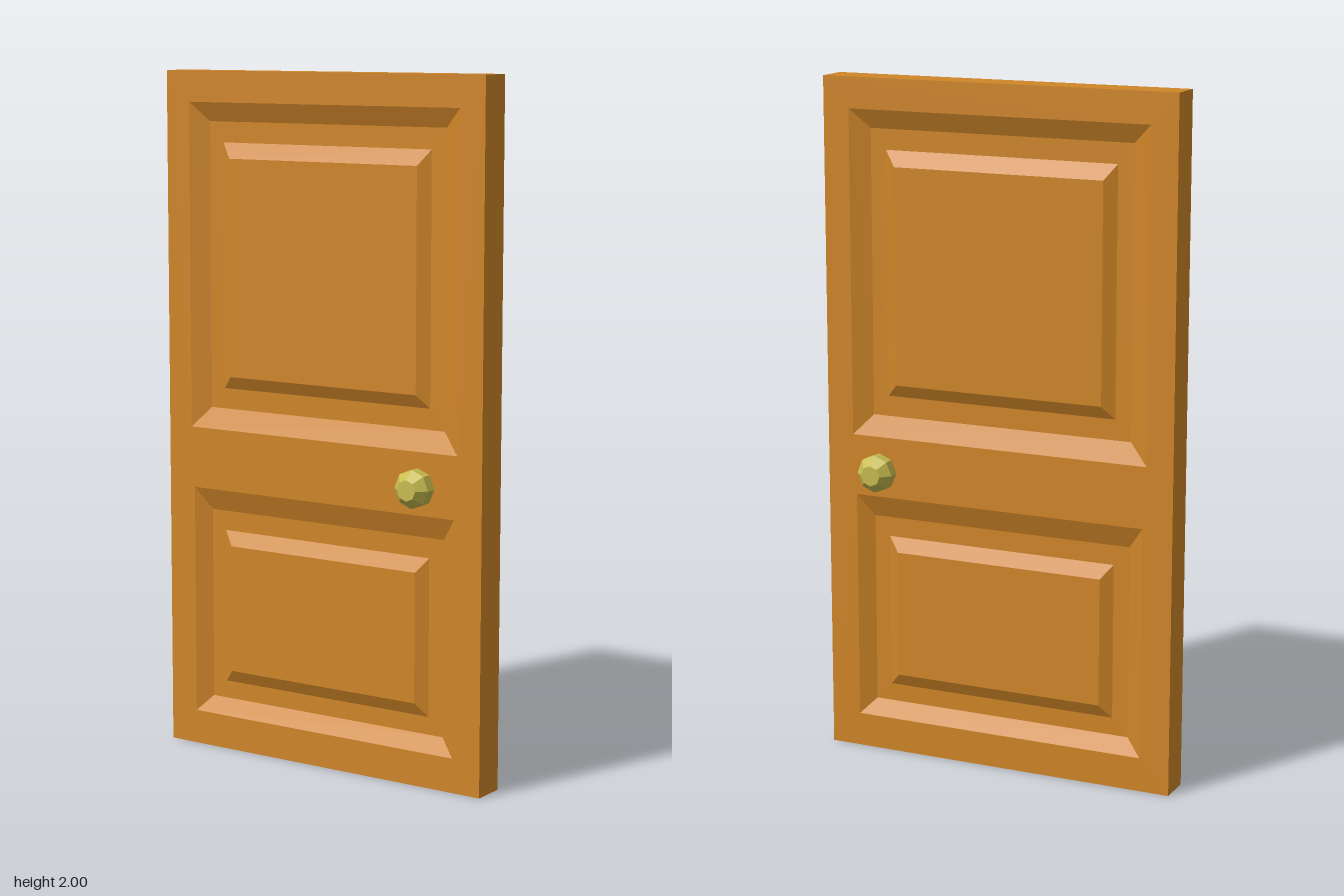
import * as THREE from 'three';

const wood = new THREE.MeshStandardMaterial({ color: 0xd08628, flatShading: true });
const brass = new THREE.MeshStandardMaterial({ color: 0xc8bc50, flatShading: true });
const HALF_W = 0.54, HEIGHT = 2, HALF_T = 0.05;
const FLOOR = HALF_T - 0.025, FIELD = HALF_T - 0.005;

// Rectangular rings from the rim inwards: [half width, bottom, top, z]
const PANELS = {
  upperPanel: [[0.46, 0.96, 1.91, HALF_T], [0.403, 1.02, 1.855, FLOOR], [0.355, 1.08, 1.795, FLOOR], [0.32, 1.117, 1.75, FIELD]],
  lowerPanel: [[0.45, 0.10, 0.78, HALF_T], [0.403, 0.148, 0.715, FLOOR], [0.355, 0.20, 0.657, FLOOR], [0.32, 0.238, 0.615, FIELD]],
};

function rectangle(Type, w, y0, y1) {
  return new Type([[-w, y0], [w, y0], [w, y1], [-w, y1]].map(([x, y]) => new THREE.Vector2(x, y)));
}

// Sunken moulding with a raised field, joined ring by ring
function panelGeometry(rings) {
  const loops = rings.map(([w, y0, y1, z]) => [[-w, y0, z], [w, y0, z], [w, y1, z], [-w, y1, z]]);
  const points = [];
  const quad = (a, b, c, d) => points.push(...a, ...b, ...c, ...a, ...c, ...d);
  for (let r = 0; r < loops.length - 1; r++) {
    for (let i = 0; i < 4; i++) {
      const j = (i + 1) % 4;
      quad(loops[r][i], loops[r][j], loops[r + 1][j], loops[r + 1][i]);
    }
  }
  quad(...loops[loops.length - 1]);
  const geometry = new THREE.BufferGeometry();
  geometry.setAttribute('position', new THREE.Float32BufferAttribute(points, 3));
  geometry.computeVertexNormals();
  return geometry;
}

function addMesh(parent, name, geometry, material) {
  const mesh = new THREE.Mesh(geometry, material);
  mesh.name = name;
  parent.add(mesh);
  return mesh;
}

export function createModel() {
  const door = new THREE.Group();
  door.name = 'door';

  // Frame with an opening for each panel
  const outline = rectangle(THREE.Shape, HALF_W, 0, HEIGHT);
  for (const [[w, y0, y1]] of Object.values(PANELS)) outline.holes.push(rectangle(THREE.Path, w, y0, y1));
  const frame = new THREE.ExtrudeGeometry(outline, { depth: 2 * HALF_T, bevelEnabled: false });
  frame.translate(0, 0, -HALF_T);
  addMesh(door, 'frame', frame, wood);

  // Eight-sided knob, turned about the z axis
  const profile = [[0.022, 0.045], [0.022, 0.053], [0.055, 0.088], [0.055, 0.12], [0.03, 0.147], [0, 0.147]];
  const knob = new THREE.LatheGeometry(profile.map(([r, y]) => new THREE.Vector2(r, y)), 8);
  knob.rotateX(Math.PI / 2);

  // Panels and a knob on both faces
  for (const [side, sign] of [['front', 1], ['back', -1]]) {
    const face = new THREE.Group();
    face.name = side + 'Face';
    if (sign < 0) face.rotation.y = Math.PI;
    for (const [name, rings] of Object.entries(PANELS)) addMesh(face, name, panelGeometry(rings), wood);
    addMesh(face, 'knob', knob, brass).position.set(0.355 * sign, 0.867, 0);
    door.add(face);
  }
  return door;
}
